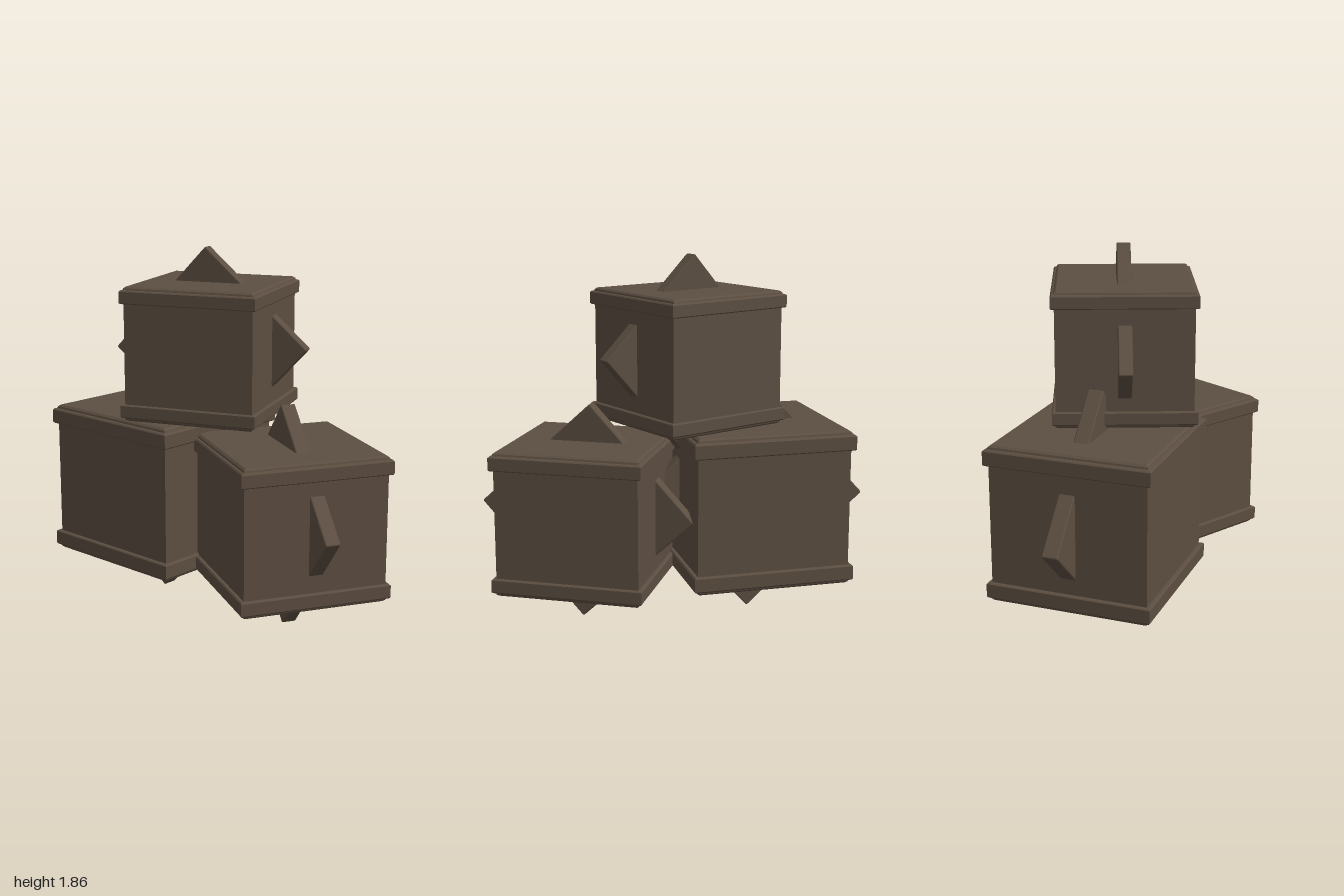
import * as THREE from 'three';
import { RoundedBoxGeometry } from 'three/addons/geometries/RoundedBoxGeometry.js';

const darkWood = new THREE.MeshStandardMaterial({ color: 0x5c4e41 });

// Square loft: each profile point is [half width, height], with flat faces.
function squareLoft(profile) {
  const points = profile.map(([w, y]) => new THREE.Vector2(w * Math.SQRT2, y));
  const geometry = new THREE.LatheGeometry(points, 4, Math.PI / 4).toNonIndexed();
  geometry.computeVertexNormals();
  return geometry;
}

// Half of the crate outline: wall, overhanging band, bevelled cap.
const upper = [
  [0.397, 0.30], [0.412, 0.30], [0.4185, 0.306], [0.4185, 0.372],
  [0.412, 0.379], [0.401, 0.381], [0.398, 0.391], [0.386, 0.4], [0, 0.4],
];
const lower = upper.map(([w, y]) => [w, -y]).reverse();

function createCrate() {
  const crate = new THREE.Group();

  const add = (name, geometry) => {
    const mesh = new THREE.Mesh(geometry, darkWood);
    mesh.name = name;
    crate.add(mesh);
    return mesh;
  };

  add('lowerBand', squareLoft(lower));
  add('walls', squareLoft([lower[lower.length - 1], upper[0]]));
  add('upperBand', squareLoft(upper));

  // A square plate set on its corner pokes out of four sides as spikes.
  const spikes = add('spikePlate', new RoundedBoxGeometry(0.863, 0.863, 0.082, 1, 0.008));
  spikes.rotation.z = Math.PI / 4 + 0.043;
  return crate;
}

export function createModel() {
  const model = new THREE.Group();
  model.name = 'crateStack';

  // name, scale, centre, turn about the vertical
  const crates = [
    ['rightCrate', 1, [-0.395, 0.617, 0.075], 0.204],
    ['leftCrate', 0.92, [0.455, 0.585, -0.095], -0.297],
    ['topCrate', 0.842, [-0.056, 1.364, 0.006], 0.588],
  ];
  for (const [name, scale, centre, turn] of crates) {
    const crate = createCrate();
    crate.name = name;
    crate.scale.setScalar(scale);
    crate.position.set(...centre);
    crate.rotation.y = turn;
    model.add(crate);
  }
  return model;
}
